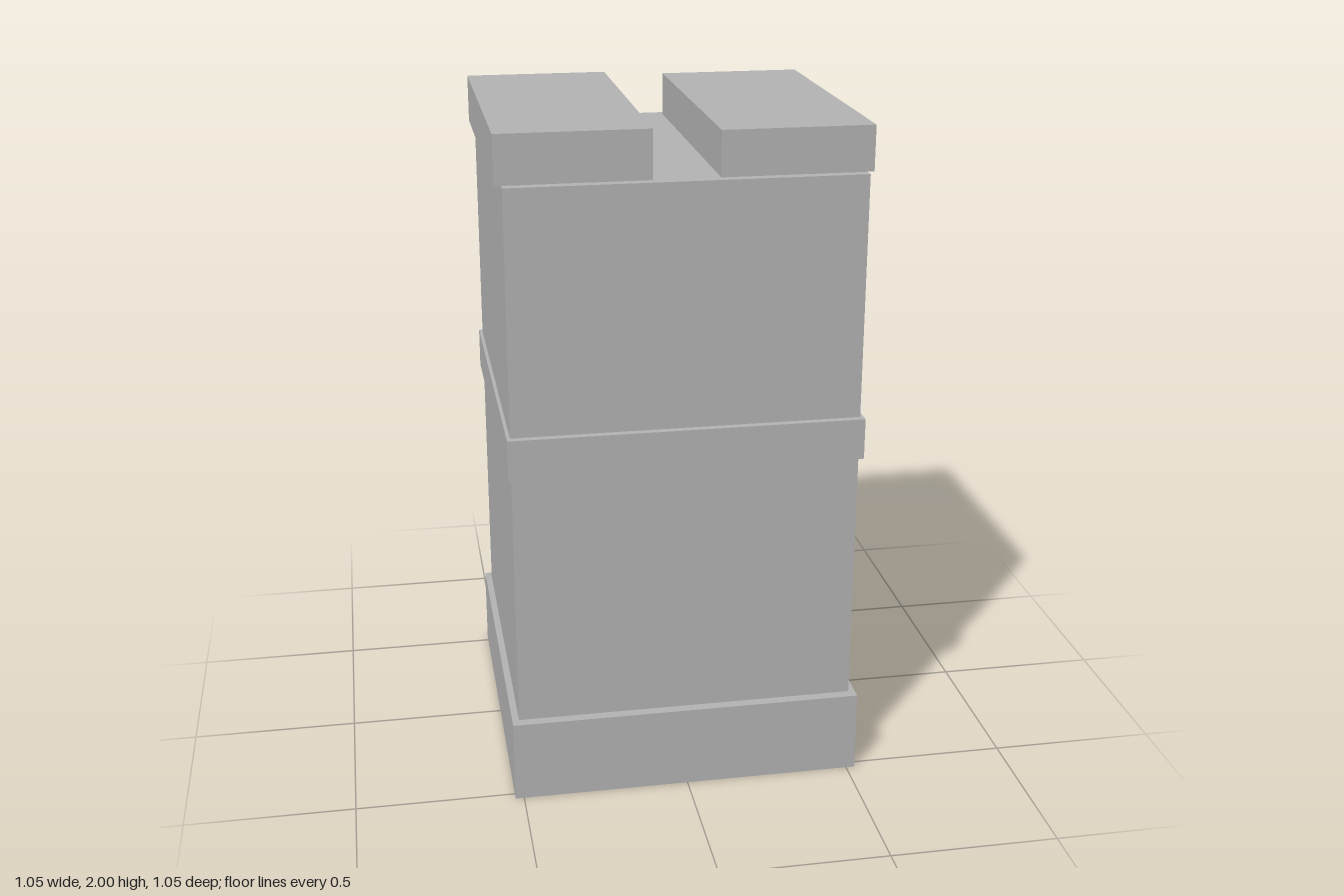
import * as THREE from 'three';

export function createModel() {
  const model = new THREE.Group();
  model.name = 'pillar';

  const stone = new THREE.MeshStandardMaterial({ color: 0xb3b3b3 });
  stone.name = 'grey stone';

  // Box from its x range, y range and depth, centred on z = 0
  const block = (name, x0, x1, y0, y1, depth) => {
    const mesh = new THREE.Mesh(new THREE.BoxGeometry(x1 - x0, y1 - y0, depth), stone);
    mesh.position.set((x0 + x1) / 2, (y0 + y1) / 2, 0);
    mesh.name = name;
    model.add(mesh);
  };

  // Plinth, shaft and the band around its middle
  block('base', -0.526, 0.526, 0, 0.25, 1.052);
  block('shaft', -0.506, 0.506, 0.25, 1.86, 0.99);
  block('middleBand', -0.516, 0.516, 1.027, 1.149, 1.034);

  // Two cap slabs with a gap between them, the right one slightly taller
  block('rightCapSlab', -0.526, -0.094, 1.86, 2, 0.928);
  block('leftCapSlab', 0.094, 0.526, 1.86, 1.99, 0.928);

  return model;
}
